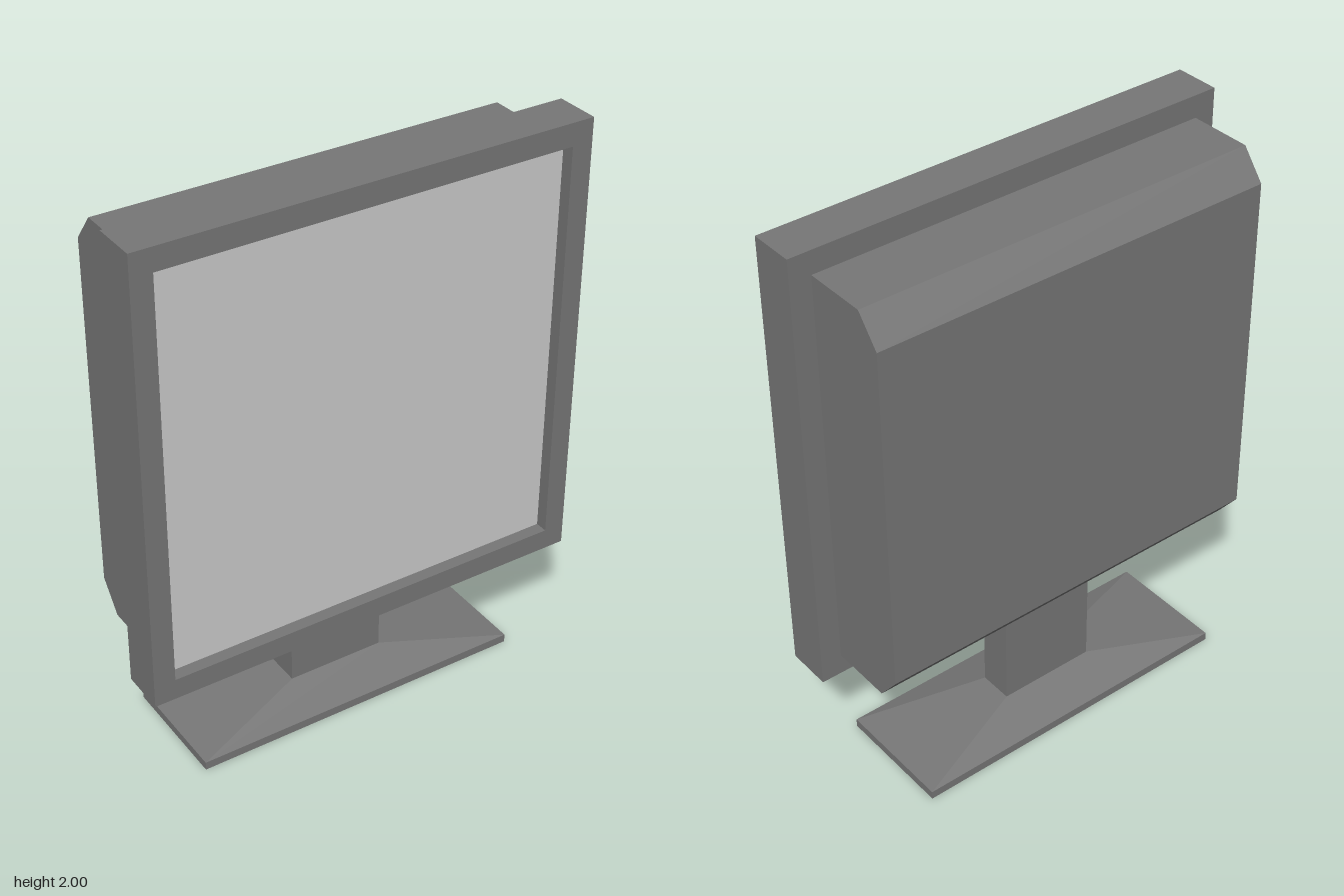
import * as THREE from 'three';

const caseMaterial = new THREE.MeshStandardMaterial({ color: 0x777777 });
const screenMaterial = new THREE.MeshStandardMaterial({ color: 0xcccccc });

function addMesh(group, name, geometry, material = caseMaterial) {
  const mesh = new THREE.Mesh(geometry, material);
  mesh.name = name;
  group.add(mesh);
  return mesh;
}

// Box given by its lower and upper limits on each axis
function boxBetween([x0, x1], [y0, y1], [z0, z1]) {
  return new THREE.BoxGeometry(x1 - x0, y1 - y0, z1 - z0)
    .translate((x0 + x1) / 2, (y0 + y1) / 2, (z0 + z1) / 2);
}

function rectangle(PathType, x, y0, y1) {
  return new PathType([[-x, y0], [x, y0], [x, y1], [-x, y1]].map(([a, b]) => new THREE.Vector2(a, b)));
}

export function createModel() {
  const model = new THREE.Group();
  model.name = 'monitor';

  const neckX = [-0.175, 0.18], neckZ = [-0.085, 0.035];
  const baseX = [-0.605, 0.615], baseZ = [-0.24, 0.19];
  const openX = 0.725, openY = [0.475, 1.92];

  // Front frame with its screen opening
  const frame = rectangle(THREE.Shape, 0.8, 0.4, 2);
  frame.holes.push(rectangle(THREE.Path, openX, ...openY));
  addMesh(model, 'bezel', new THREE.ExtrudeGeometry(frame, { depth: 0.16, bevelEnabled: false }))
    .position.z = 0.08;

  // Screen set back inside the frame
  addMesh(model, 'screen', new THREE.PlaneGeometry(2 * openX, openY[1] - openY[0]), screenMaterial)
    .position.set(0, (openY[0] + openY[1]) / 2, 0.195);

  // Rear housing: side profile (z, y) with sloped top and bottom edges, extruded across x
  const profile = new THREE.Shape([
    [0.08, 0.475], [0.08, 1.92], [-0.145, 1.92], [-0.225, 1.82], [-0.225, 0.575], [-0.145, 0.475],
  ].map(([z, y]) => new THREE.Vector2(-z, y)));
  const housing = new THREE.ExtrudeGeometry(profile, { depth: 2 * openX, bevelEnabled: false });
  housing.translate(0, 0, -openX).rotateY(Math.PI / 2);
  addMesh(model, 'rearHousing', housing);

  // Stand neck
  addMesh(model, 'neck', boxBetween(neckX, [0.08, 0.475], neckZ));

  // Foot plate and the slope rising from it to the neck
  addMesh(model, 'footPlate', boxBetween(baseX, [0, 0.03], baseZ));
  const slope = boxBetween(baseX, [0.03, 0.08], baseZ);
  const p = slope.attributes.position;
  for (let i = 0; i < p.count; i++) {
    if (p.getY(i) > 0.05) {
      p.setX(i, neckX[p.getX(i) > 0 ? 1 : 0]);
      p.setZ(i, neckZ[p.getZ(i) > 0 ? 1 : 0]);
    }
  }
  slope.computeVertexNormals();
  addMesh(model, 'footSlope', slope);

  return model;
}
